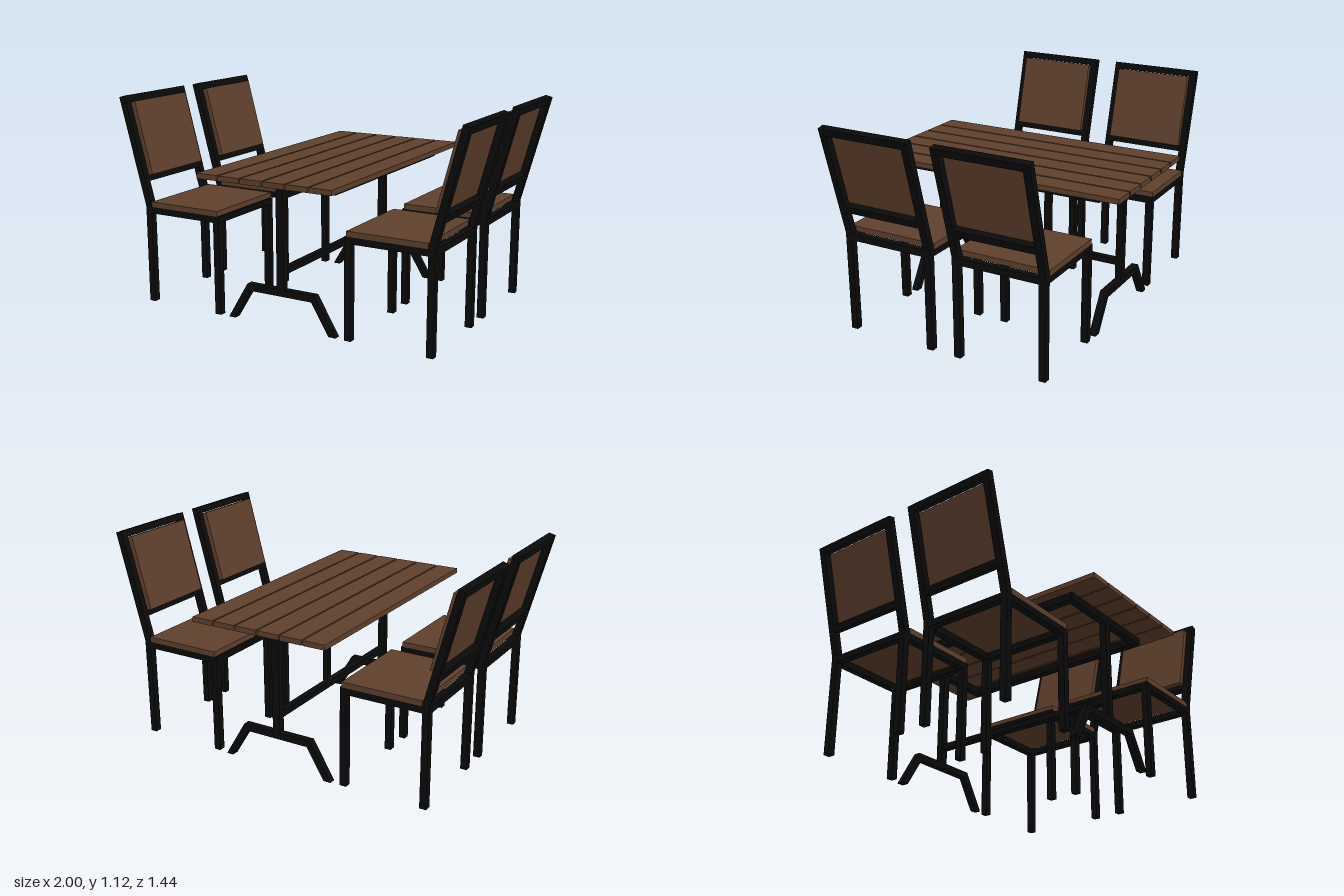
import * as THREE from 'three';

const wood = new THREE.MeshStandardMaterial({ color: 0x5e3f2c });
wood.name = 'brown wood';
const metal = new THREE.MeshStandardMaterial({ color: 0x0a0a0a });
metal.name = 'black metal';

const T = 0.037; // metal tube thickness

// Box given by its min and max on each axis
function box(parent, name, mat, x0, x1, y0, y1, z0, z1) {
  const mesh = new THREE.Mesh(new THREE.BoxGeometry(x1 - x0, y1 - y0, z1 - z0), mat);
  mesh.position.set((x0 + x1) / 2, (y0 + y1) / 2, (z0 + z1) / 2);
  mesh.name = name;
  parent.add(mesh);
  return mesh;
}

// Flat profile in x/y, extruded along z around a centre
function profile(parent, name, points, zCentre, depth) {
  const shape = new THREE.Shape(points.map(([x, y]) => new THREE.Vector2(x, y)));
  const geo = new THREE.ExtrudeGeometry(shape, { depth, bevelEnabled: false });
  geo.translate(0, 0, zCentre - depth / 2);
  const mesh = new THREE.Mesh(geo, metal);
  mesh.name = name;
  parent.add(mesh);
}

// Chair on the +x side, facing -x, centred on z = 0
function makeChair() {
  const chair = new THREE.Group();
  chair.name = 'chair';
  const h = 0.2525, inner = h - T;

  for (const s of [-1, 1]) {
    const z = s * (h - T / 2);
    // back leg continues into the leaning back post
    profile(chair, 'backLeg', [[0.81, 0], [0.846, 0], [0.846, 0.53],
      [0.998, 1.107], [0.962, 1.117], [0.81, 0.54]], z, T);
    box(chair, 'frontLeg', metal, 0.37, 0.406, 0, 0.53, z - T / 2, z + T / 2);
    box(chair, 'seatSideRail', metal, 0.406, 0.81, 0.495, 0.53, z - T / 2, z + T / 2);
  }
  box(chair, 'seatFrontRail', metal, 0.37, 0.406, 0.495, 0.53, -inner, inner);
  box(chair, 'seatBackRail', metal, 0.81, 0.846, 0.495, 0.53, -inner, inner);
  box(chair, 'seat', wood, 0.38, 0.808, 0.53, 0.558, -h, h);

  // leaning backrest, measured along the posts
  const back = new THREE.Group();
  back.name = 'backrest';
  back.position.set(0.828, 0.535, 0);
  back.rotation.z = -0.2575;
  box(back, 'topRail', metal, -T / 2, T / 2, 0.56, 0.597, -inner, inner);
  box(back, 'lowerRail', metal, -T / 2, T / 2, 0.127, 0.164, -inner, inner);
  box(back, 'backPanel', wood, -0.046, -0.018, 0.158, 0.558, -inner, inner);
  chair.add(back);
  return chair;
}

function makeTable() {
  const table = new THREE.Group();
  table.name = 'table';

  // six planks
  for (let i = 0; i < 6; i++) {
    const x = -0.375 + i * 0.1297;
    box(table, 'plank', wood, x, x + 0.121, 0.764, 0.791, -0.722, 0.722);
  }

  // frame beneath the planks
  const zFront = 0.535, zBack = -0.566;
  for (const s of [-1, 1]) {
    box(table, 'topSideRail', metal, s * 0.302 - T / 2, s * 0.302 + T / 2,
      0.724, 0.764, zBack + T / 2, zFront - T / 2);
  }

  // pedestal at each end
  const half = [[0.2, 0.2], [0.32, 0], [0.28, 0], [0.18, 0.163]];
  const foot = [...half, ...half.map(([x, y]) => [-x, y]).reverse()];
  for (const z of [zFront, zBack]) {
    box(table, 'topEndRail', metal, -0.32, 0.32, 0.724, 0.764, z - T / 2, z + T / 2);
    box(table, 'post', metal, -0.021, 0.021, 0.18, 0.724, z - T / 2, z + T / 2);
    profile(table, 'foot', foot, z, T);
  }
  box(table, 'stretcher', metal, -T / 2, T / 2, 0.274, 0.306, zBack, zFront);
  return table;
}

export function createModel() {
  const model = new THREE.Group();
  model.name = 'diningSet';
  model.add(makeTable());

  // two chairs on each side
  for (const z of [0.304, -0.326]) {
    for (const turn of [0, Math.PI]) {
      const chair = makeChair();
      chair.position.z = z;
      chair.rotation.y = turn;
      model.add(chair);
    }
  }
  return model;
}
